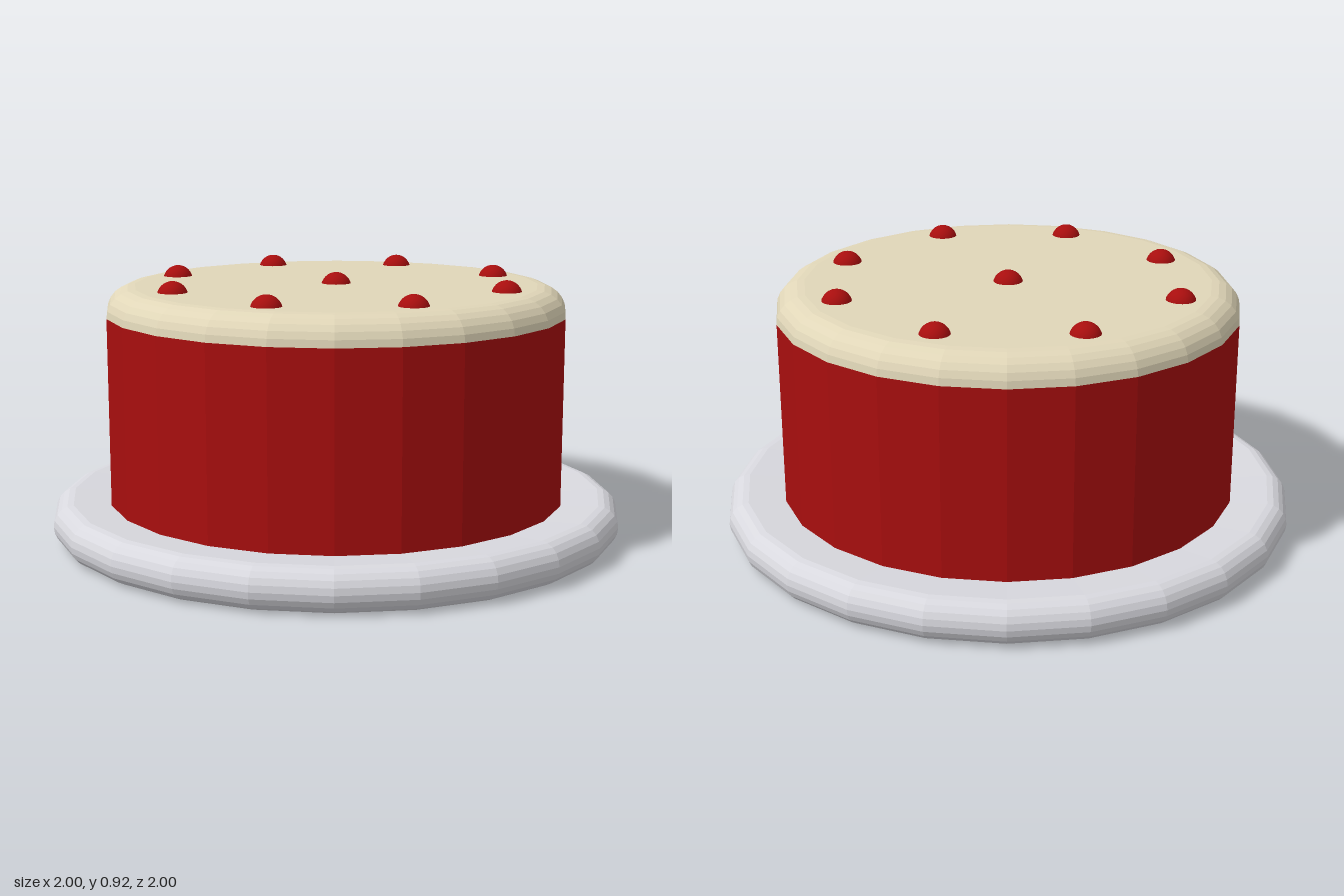
import * as THREE from 'three';

const SIDES = 24;
const material = (name, color) => {
  const m = new THREE.MeshStandardMaterial({ color });
  m.name = name;
  return m;
};

// Faceted solid of revolution; the profile runs from bottom to top
function turned(name, points, mat) {
  const profile = points.map(([r, y]) => new THREE.Vector2(r, y));
  const geometry = new THREE.LatheGeometry(profile, SIDES).toNonIndexed();
  geometry.computeVertexNormals();
  const mesh = new THREE.Mesh(geometry, mat);
  mesh.name = name;
  return mesh;
}

// Points on an arc in the profile plane
function arc(cx, cy, rx, ry, from, to, steps) {
  return Array.from({ length: steps + 1 }, (_, i) => {
    const a = from + ((to - from) * i) / steps;
    return [cx + rx * Math.cos(a), cy + ry * Math.sin(a)];
  });
}

export function createModel() {
  const cake = new THREE.Group();
  cake.name = 'cake';
  const red = material('red', 0xa80e0e);
  const cream = material('cream', 0xe0d6b8);
  const silver = material('silver', 0xd8d8de);

  // Plate with a rounded rim and a very shallow dish
  const rim = arc(0.93, 0.0725, 0.07, 0.0725, -Math.PI / 2, Math.PI / 2, 10);
  cake.add(turned('plate', [[0, 0], ...rim, [0.8, 0.136], [0, 0.136]], silver));

  // Sponge side and rounded icing on top
  cake.add(turned('sponge', [[0.8, 0.135], [0.8, 0.785]], red));
  const bevel = arc(0.7, 0.785, 0.1, 0.095, 0, Math.PI / 2, 6);
  cake.add(turned('icing', [...bevel, [0, 0.88]], cream));

  // Cherries half sunk in the icing: one in the middle, eight around it
  const cherryGeometry = new THREE.SphereGeometry(0.053, 24, 16);
  const spots = [
    [-0.01, -0.01], [-0.24, -0.56], [0.235, -0.565], [0.555, -0.255], [0.57, 0.22],
    [0.25, 0.555], [-0.215, 0.555], [-0.56, 0.25], [-0.57, -0.225],
  ];
  for (const [x, z] of spots) {
    const cherry = new THREE.Mesh(cherryGeometry, red);
    cherry.name = 'cherry';
    cherry.position.set(x, 0.865, z);
    cake.add(cherry);
  }
  return cake;
}
